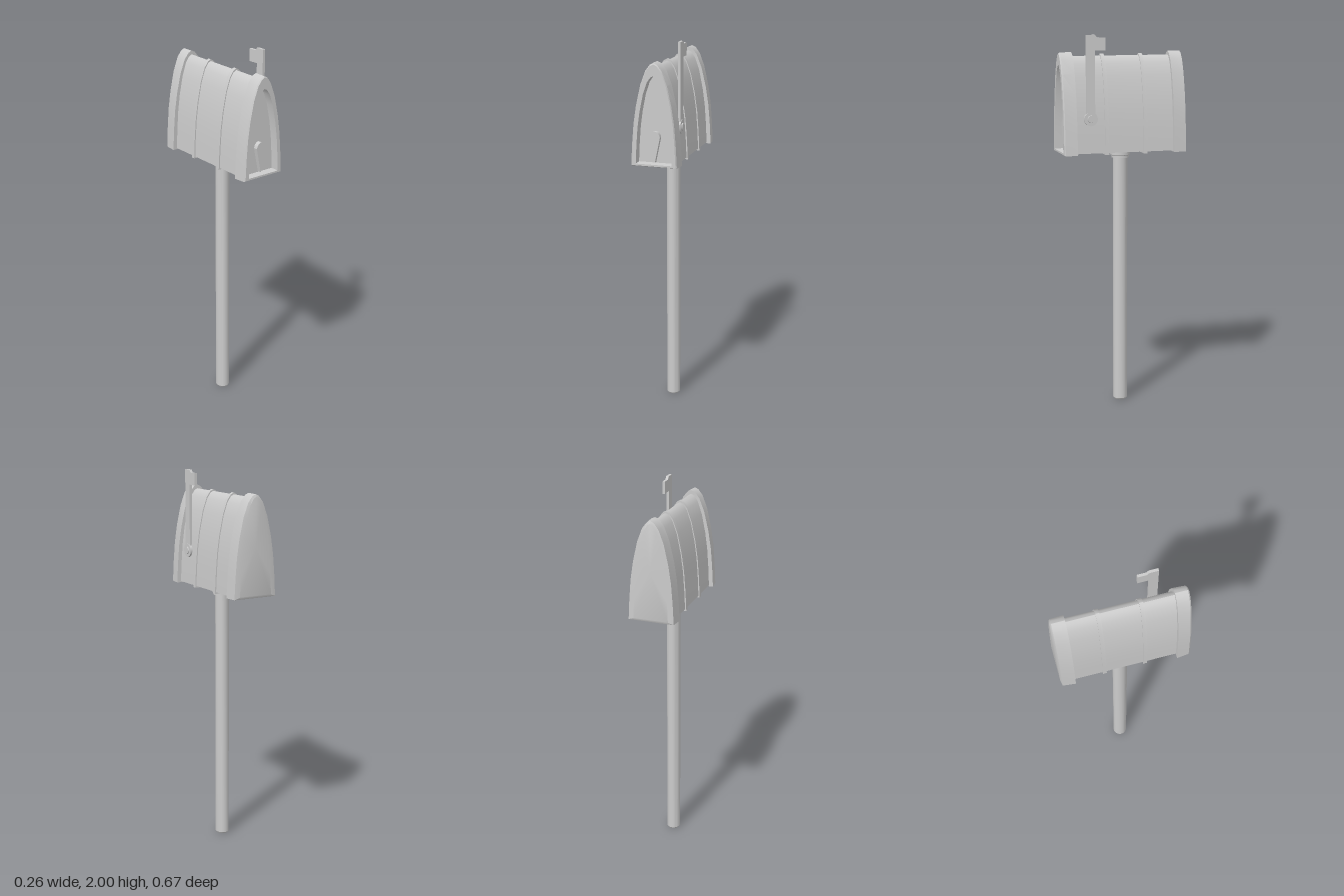
import * as THREE from 'three';
import { toCreasedNormals } from 'three/addons/utils/BufferGeometryUtils.js';

const BASE = 1.385; // height of the underside of the box
const material = new THREE.MeshStandardMaterial({ color: 0xcccccc });

// Right half of the pointed arch, from foot to apex: [x, height above base]
const ARCH = [[0.128, 0], [0.122, 0.11], [0.113, 0.215], [0.098, 0.31], [0.073, 0.415], [0.045, 0.485], [0.02, 0.516], [0, 0.525]];

// Closed counter-clockwise arch outline, scaled and lifted, at depth z
function ring(z, sx, sy, lift = 0) {
  const right = ARCH.map(([x, y]) => [x * sx, BASE + lift + y * sy, z]);
  const left = right.slice(0, -1).reverse().map(([x, y]) => [-x, y, z]);
  return [...right, ...left];
}

// Skin a row of outlines and close both ends with fans
function loft(rings, crease = 0.6) {
  const pos = [];
  const tri = (...p) => p.forEach((v) => pos.push(...v));
  const n = rings[0].length;
  const centre = (r) => [0, (r[0][1] + r[(n - 1) / 2][1]) / 2, r[0][2]];
  for (let j = 0; j < n; j++) {
    const k = (j + 1) % n;
    for (let i = 0; i < rings.length - 1; i++) {
      const a = rings[i], b = rings[i + 1];
      tri(a[j], a[k], b[k]);
      tri(a[j], b[k], b[j]);
    }
    const first = rings[0], last = rings[rings.length - 1];
    tri(first[k], first[j], centre(first));
    tri(last[j], last[k], centre(last));
  }
  const g = new THREE.BufferGeometry();
  g.setAttribute('position', new THREE.Float32BufferAttribute(pos, 3));
  return toCreasedNormals(g, crease);
}

export function createModel() {
  const model = new THREE.Group();
  model.name = 'mailbox';
  const add = (name, geometry, x = 0, y = 0, z = 0) => {
    const mesh = new THREE.Mesh(geometry, material);
    mesh.name = name;
    mesh.position.set(x, y, z);
    model.add(mesh);
    return mesh;
  };

  // Post with a chamfered foot, slightly deeper than wide
  const post = [[0, 0], [0.031, 0], [0.036, 0.008], [0.036, 1.37], [0, 1.37]];
  const postGeo = new THREE.LatheGeometry(post.map((p) => new THREE.Vector2(...p)), 20);
  add('post', toCreasedNormals(postGeo, 0.5)).scale.z = 1.08;

  // Stepped collar under the box
  const collar = [[0.036, 1.352], [0.047, 1.352], [0.047, 1.364], [0.054, 1.368], [0.054, 1.39], [0, 1.39]];
  const collarGeo = new THREE.LatheGeometry(collar.map((p) => new THREE.Vector2(...p)), 24);
  add('collar', toCreasedNormals(collarGeo, 0.5));

  // Box body and its two raised bands
  add('body', loft([ring(-0.3, 0.82, 0.95, 0.006), ring(0.28, 0.82, 0.95, 0.006)]));
  for (const z of [-0.108, 0.102]) {
    add('band', loft([ring(z - 0.01, 0.875, 0.985, -0.003), ring(z + 0.01, 0.875, 0.985, -0.003)]));
  }

  // Closed rear cap, tapered and bevelled
  add('rearCap', loft([
    ring(-0.335, 0.72, 0.95, 0.012),
    ring(-0.329, 0.945, 0.997),
    ring(-0.262, 1, 1),
  ], 0.5));

  // Front cap: tapered rim around a recessed door panel
  add('frontCap', loft([
    ring(0.265, 1, 1),
    ring(0.328, 0.945, 0.997),
    ring(0.334, 0.9, 0.98, 0.003),
    ring(0.334, 0.74, 0.853, 0.012),
    ring(0.29, 0.72, 0.845, 0.014),
  ], 0.5));

  // Wedge-shaped door pull
  const pull = new THREE.Shape();
  pull.moveTo(0, 0);
  pull.lineTo(0.027, 0.13);
  pull.quadraticCurveTo(0.02, 0.158, 0, 0.16);
  pull.quadraticCurveTo(-0.02, 0.158, -0.027, 0.13);
  pull.closePath();
  add('doorPull', new THREE.ExtrudeGeometry(pull, { depth: 0.025, bevelEnabled: false, curveSegments: 6 }), 0, 1.403, 0.288);

  // Signal flag on the left side, drawn in the plane of that side (shape x = -z)
  const flag = new THREE.Shape();
  [[-0.023, 0], [0.023, 0], [0.023, 0.352], [0.08, 0.35], [0.08, 0.415], [0.035, 0.415], [0.023, 0.43], [-0.023, 0.43]]
    .forEach(([x, y], i) => (i ? flag.lineTo(x, y) : flag.moveTo(x, y)));
  flag.closePath();
  add('flag', new THREE.ExtrudeGeometry(flag, { depth: 0.014, bevelEnabled: false }), 0.089, 1.57, 0.188).rotation.y = Math.PI / 2;

  // Flag pivot: disc with a small bolt head
  add('flagPivot', new THREE.CylinderGeometry(0.036, 0.036, 0.022, 24), 0.095, 1.57, 0.188).rotation.z = -Math.PI / 2;
  add('pivotBolt', new THREE.CylinderGeometry(0.018, 0.02, 0.008, 16), 0.107, 1.57, 0.188).rotation.z = -Math.PI / 2;

  return model;
}
